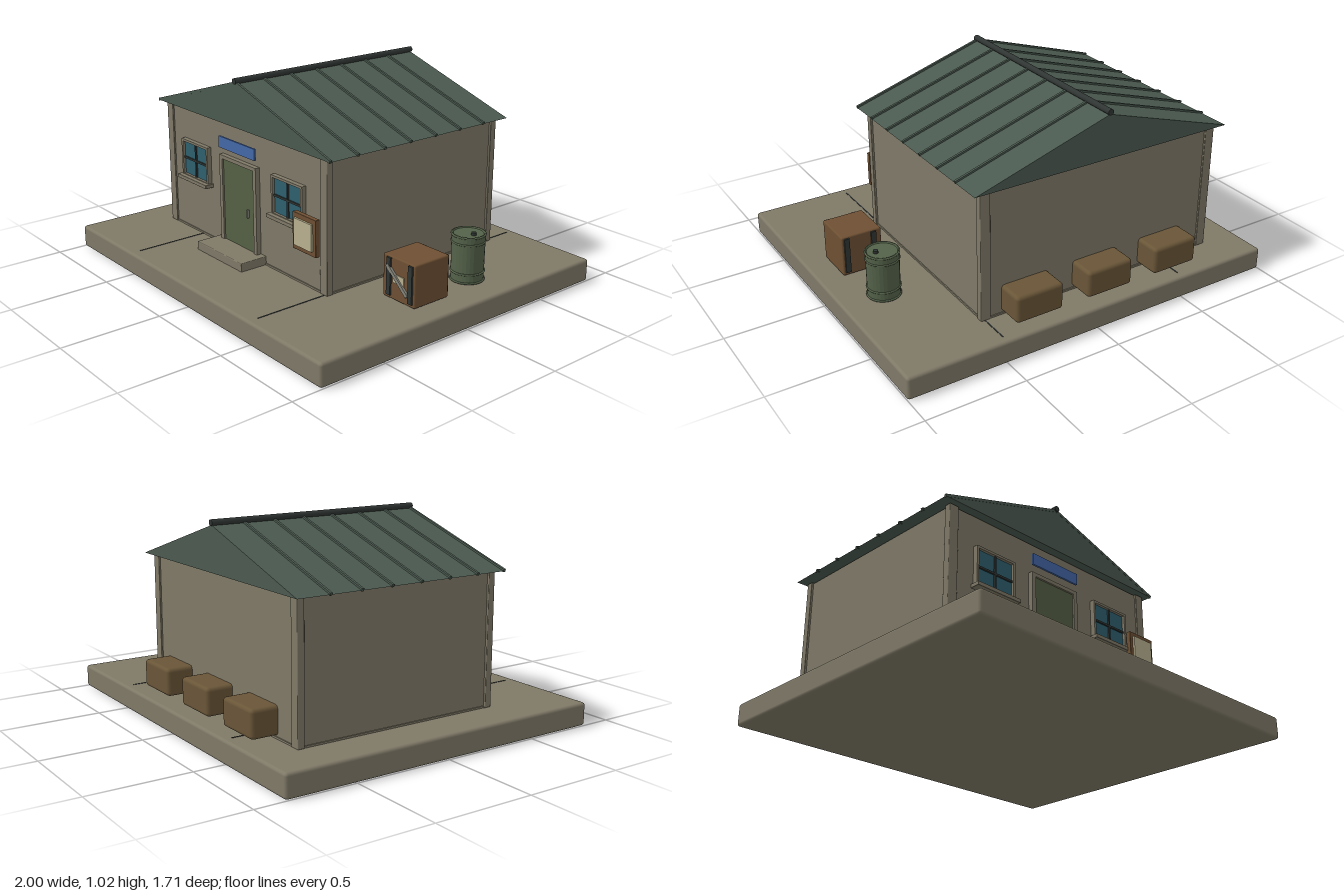
import * as THREE from 'three';
import { RoundedBoxGeometry } from 'three/addons/geometries/RoundedBoxGeometry.js';

const mat = (color) => new THREE.MeshStandardMaterial({ color });
const M = {
  concrete: mat(0x7f7967), roof: mat(0x4b5a50), dark: mat(0x303634), door: mat(0x566044),
  glass: mat(0x2f6070), sign: mat(0x4468a8), wood: mat(0x6e5033), bale: mat(0x6a5638),
  paper: mat(0xb9b18f), drum: mat(0x55634a), metal: mat(0x85857c),
};

export function createModel() {
  const root = new THREE.Group();

  const add = (name, geo, material, parent = root) => {
    const m = new THREE.Mesh(geo, material);
    m.name = name;
    parent.add(m);
    return m;
  };
  // Box given by its limits on each axis, with optional rounded edges
  const box = (name, material, x0, x1, y0, y1, z0, z1, r = 0, parent = root) => {
    const s = [x1 - x0, y1 - y0, z1 - z0];
    const geo = r ? new RoundedBoxGeometry(...s, 2, r) : new THREE.BoxGeometry(...s);
    const m = add(name, geo, material, parent);
    m.position.set((x0 + x1) / 2, (y0 + y1) / 2, (z0 + z1) / 2);
    return m;
  };
  const group = (name) => {
    const g = new THREE.Group();
    g.name = name;
    root.add(g);
    return g;
  };

  // Ground slab with two expansion joints
  box('groundSlab', M.concrete, -1, 1, 0, 0.115, -0.853, 0.853, 0.015);
  for (const x of [-0.5, 0.5]) box('slabJoint', M.dark, x - 0.003, x + 0.003, 0.11, 0.117, -0.81, 0.8);

  // Walls, plinth and corner posts
  const cx = -0.137;
  box('walls', M.concrete, -0.785, 0.511, 0.115, 0.76, -0.652, 0.417);
  box('plinth', M.concrete, -0.79, 0.516, 0.113, 0.124, -0.657, 0.422);
  for (const x of [-0.77, 0.496])
    for (const z of [-0.643, 0.408])
      box('cornerPost', M.concrete, x - 0.026, x + 0.026, 0.115, 0.765, z - 0.018, z + 0.018, 0.004);

  // Gabled roof
  const roof = group('roof');
  const half = 0.703, eave = 0.772, apex = 0.992, zBack = -0.69, zFront = 0.448;
  const gable = new THREE.Shape([
    new THREE.Vector2(-half, eave), new THREE.Vector2(half, eave), new THREE.Vector2(0, apex),
  ]);
  add('roofBody', new THREE.ExtrudeGeometry(gable, { depth: zFront - zBack, bevelEnabled: false }), M.roof, roof)
    .position.set(cx, 0, zBack);
  // Raised seams running down both slopes
  const slope = Math.atan2(apex - eave, half);
  const run = Math.hypot(half, apex - eave);
  for (const side of [-1, 1])
    for (let i = 0; i < 7; i++) {
      const seam = add('roofSeam', new THREE.BoxGeometry(run, 0.014, 0.012), M.roof, roof);
      seam.position.set(cx + side * half / 2, (eave + apex) / 2 + 0.002, 0.443 - i * 0.161);
      seam.rotation.z = -side * slope;
    }
  const ridge = add('ridgeCap', new THREE.CylinderGeometry(0.015, 0.015, 1.15, 12), M.dark, roof);
  ridge.rotation.x = Math.PI / 2;
  ridge.position.set(cx, 1.003, -0.12);

  // Windows with frame, glazing bars and sill
  for (const x of [-0.527, 0.243]) {
    const w = group('window');
    const shape = new THREE.Shape([[-0.118, 0.41], [0.118, 0.41], [0.118, 0.605], [-0.118, 0.605]]
      .map((p) => new THREE.Vector2(...p)));
    shape.holes.push(new THREE.Path([[-0.106, 0.418], [-0.106, 0.593], [0.106, 0.593], [0.106, 0.418]]
      .map((p) => new THREE.Vector2(...p))));
    add('windowFrame', new THREE.ExtrudeGeometry(shape, { depth: 0.03, bevelEnabled: false }), M.concrete, w)
      .position.set(x, 0, 0.412);
    box('glass', M.glass, x - 0.108, x + 0.108, 0.414, 0.596, 0.41, 0.428, 0, w);
    box('verticalBar', M.dark, x - 0.005, x + 0.005, 0.418, 0.593, 0.425, 0.436, 0, w);
    box('horizontalBar', M.dark, x - 0.106, x + 0.106, 0.5, 0.51, 0.425, 0.436, 0, w);
    box('sill', M.concrete, x - 0.13, x + 0.13, 0.394, 0.414, 0.41, 0.465, 0.003, w);
  }

  // Door, frame, handle, sign and step
  const door = group('entrance');
  for (const x of [-0.288, -0.008]) box('doorJamb', M.concrete, x - 0.012, x + 0.012, 0.115, 0.602, 0.41, 0.442, 0, door);
  box('doorLintel', M.concrete, -0.3, 0.004, 0.583, 0.602, 0.41, 0.442, 0, door);
  box('doorPanel', M.door, -0.276, -0.02, 0.13, 0.583, 0.41, 0.433, 0, door);
  box('doorHandle', M.metal, -0.075, -0.065, 0.328, 0.372, 0.43, 0.445, 0.003, door);
  box('signBoard', M.sign, -0.295, 0.002, 0.64, 0.698, 0.436, 0.446, 0, door);
  box('signMount', M.dark, -0.25, -0.04, 0.66, 0.68, 0.41, 0.437, 0, door);
  box('doorStep', M.concrete, -0.336, 0.045, 0.113, 0.158, 0.4, 0.565, 0.004, door);

  // Notice board
  const board = group('noticeBoard');
  box('boardFrame', M.wood, 0.341, 0.509, 0.315, 0.495, 0.457, 0.482, 0.003, board);
  box('noticeSheet', M.paper, 0.361, 0.489, 0.34, 0.471, 0.478, 0.492, 0, board);
  box('boardBracket', M.dark, 0.4, 0.45, 0.397, 0.41, 0.41, 0.46, 0, board);

  // Strapped crate with label and diagonal brace
  const crate = group('crate');
  box('crateBody', M.wood, 0.675, 0.883, 0.122, 0.33, 0.012, 0.224, 0.008, crate);
  for (const x of [0.718, 0.858])
    for (const z of [0.009, 0.227])
      box('crateStrap', M.dark, x - 0.013, x + 0.013, 0.14, 0.322, z - 0.006, z + 0.006, 0, crate);
  box('crateLabel', M.paper, 0.742, 0.815, 0.208, 0.25, 0.222, 0.228, 0, crate);
  const brace = box('crateBrace', M.metal, 0.69, 0.865, 0.219, 0.237, 0.222, 0.236, 0, crate);
  brace.rotation.z = -0.72;
  brace.position.set(0.775, 0.228, 0.229);

  // Ribbed drum with lid bung
  const drum = group('drum');
  drum.position.set(0.783, 0, -0.215);
  const profile = [[0, 0.117], [0.078, 0.117], [0.08, 0.347], [0.076, 0.352], [0.072, 0.346], [0, 0.346]]
    .map((p) => new THREE.Vector2(...p));
  const body = new THREE.LatheGeometry(profile, 28).toNonIndexed();
  body.computeVertexNormals();
  add('drumBody', body, M.drum, drum);
  for (const y of [0.122, 0.165, 0.312, 0.347]) {
    const ring = add('drumRing', new THREE.TorusGeometry(0.079, 0.005, 8, 28), M.drum, drum);
    ring.rotation.x = Math.PI / 2;
    ring.position.y = y;
  }
  add('drumBung', new THREE.CylinderGeometry(0.012, 0.012, 0.016, 12), M.dark, drum).position.set(0.032, 0.352, 0);

  // Storage boxes along the back wall
  for (const x of [-0.5, -0.11, 0.283])
    box('storageBox', M.bale, x - 0.126, x + 0.126, 0.13, 0.267, -0.785, -0.6, 0.018);

  return root;
}
